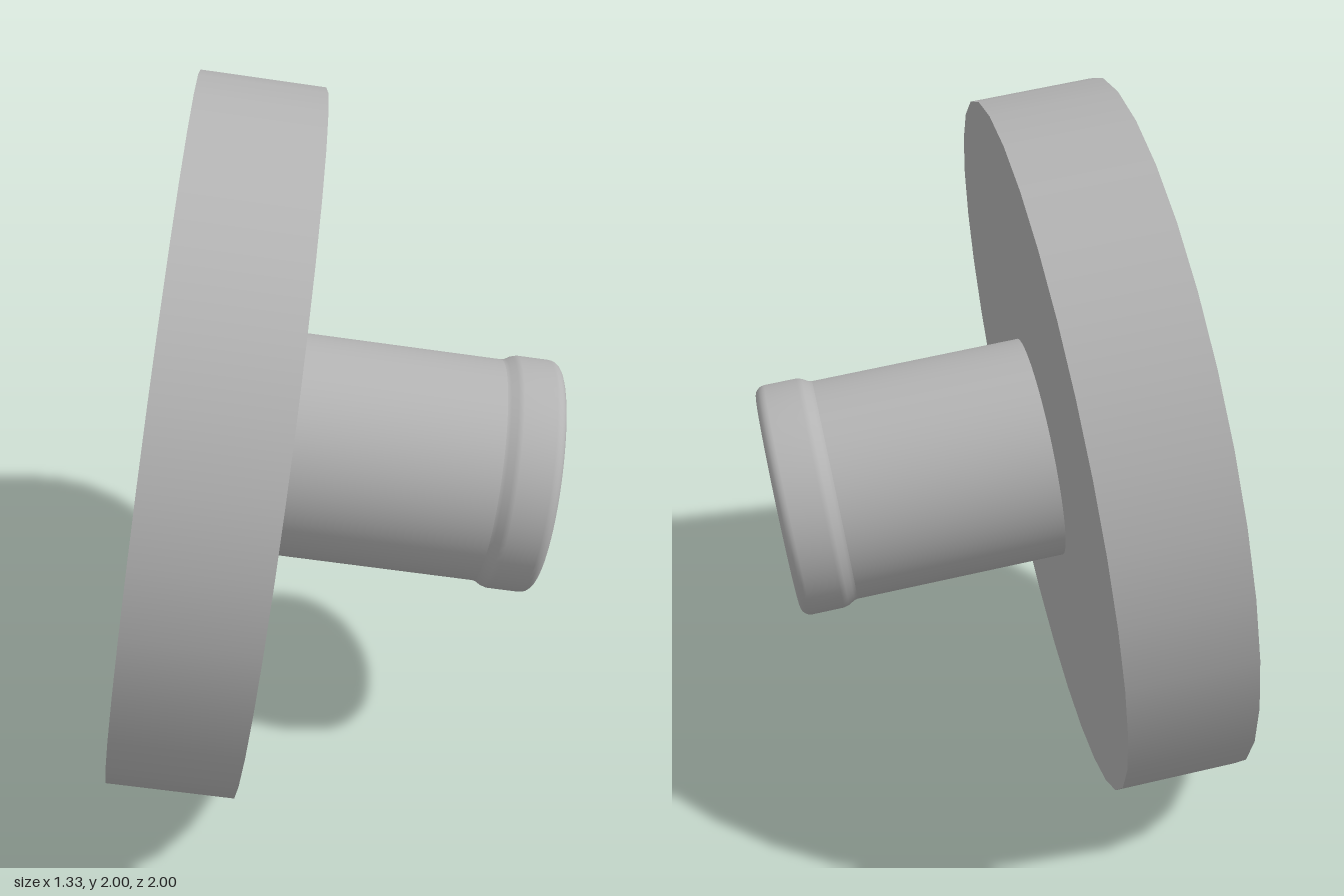
import * as THREE from 'three';

export function createModel() {
  const model = new THREE.Group();
  model.name = 'knob';
  const grey = new THREE.MeshStandardMaterial({ color: 0xb4b4b4 });
  grey.name = 'grey';

  // Tilted axis shared by all parts; y = 0 is the face that carries the stem
  const axis = new THREE.Vector3(1, -0.146, 0.146).normalize();
  const up = new THREE.Vector3(0, 1, 0).addScaledVector(axis, -axis.y).normalize();
  const side = new THREE.Vector3().crossVectors(up, axis);
  const tilted = new THREE.Group();
  tilted.name = 'tiltedBody';
  tilted.quaternion.setFromRotationMatrix(new THREE.Matrix4().makeBasis(up, axis, side));
  tilted.position.set(-0.135, 0.975, 0.025);
  model.add(tilted);

  const add = (name, geometry, y = 0) => {
    const mesh = new THREE.Mesh(geometry, grey);
    mesh.name = name;
    mesh.position.y = y;
    tilted.add(mesh);
  };
  const profile = (points) =>
    new THREE.LatheGeometry(points.map(([r, y]) => new THREE.Vector2(r, y)), 64);

  // Broad flat disc
  const thickness = 0.344;
  add('disc', new THREE.CylinderGeometry(0.985, 0.985, thickness, 32), -thickness / 2);

  // Plain round stem
  add('stem', new THREE.CylinderGeometry(0.312, 0.312, 0.61, 64, 1, true), 0.305);

  // Slightly wider collar with softened shoulders
  const collar = [[0.312, 0.59], [0.314, 0.6], [0.324, 0.617], [0.328, 0.632], [0.328, 0.722]];
  const fillet = 0.03;
  for (let i = 1; i <= 6; i++) {
    const a = (i / 6) * Math.PI / 2;
    collar.push([0.298 + fillet * Math.cos(a), 0.722 + fillet * Math.sin(a)]);
  }
  add('collar', profile(collar));

  // Flat end face
  const end = new THREE.CircleGeometry(0.298, 64);
  end.rotateX(-Math.PI / 2);
  add('endFace', end, 0.752);

  return model;
}
